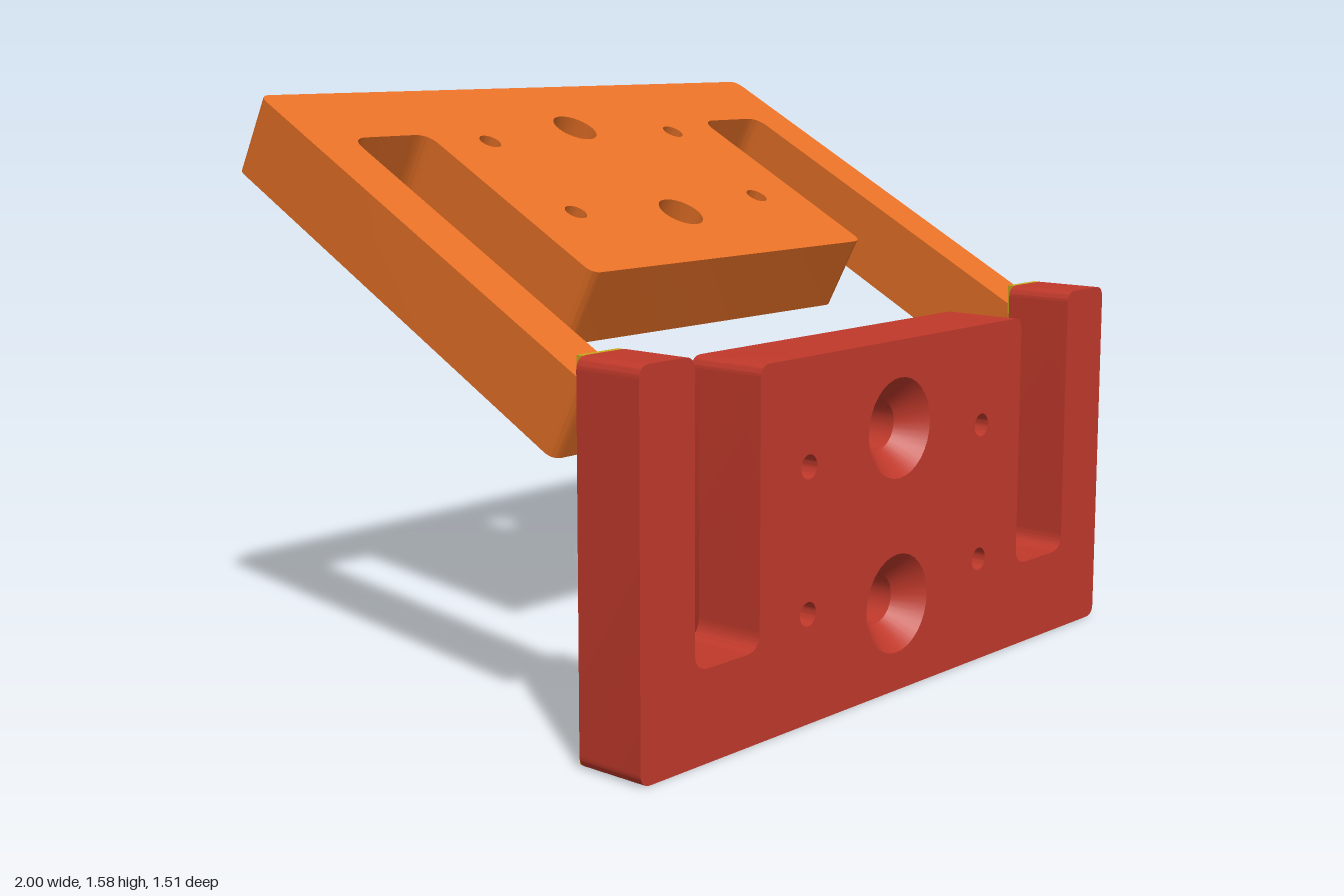
import * as THREE from 'three';
import { toCreasedNormals } from 'three/addons/utils/BufferGeometryUtils.js';

const BORE = 0.067, SINK = 0.135, SINK_DEPTH = 0.07, SMALL = 0.032;
const BIG_Y = [0.24, 0.715], SMALL_Y = [0.29, 0.67], SMALL_X = 0.38;
const PANEL = 0.57, PANEL_TOP = 0.95, SLOT_Y = 0.237;

const material = (color) => new THREE.MeshStandardMaterial({ color });

// Closed outline from [x, y, cornerRadius] points
function roundedOutline(points) {
  const shape = new THREE.Shape();
  points.forEach(([x, y, r], i) => {
    const p = new THREE.Vector2(x, y);
    const toward = (q) => new THREE.Vector2(q[0], q[1]).sub(p).setLength(r).add(p);
    const a = toward(points.at(i - 1));
    const b = toward(points[(i + 1) % points.length]);
    if (i === 0) shape.moveTo(a.x, a.y);
    else shape.lineTo(a.x, a.y);
    shape.quadraticCurveTo(x, y, b.x, b.y);
  });
  shape.closePath();
  return shape;
}

// Two large holes in the middle and four small ones at the sides
function addHoles(shape, bigRadius) {
  const hole = (x, y, r) => shape.holes.push(new THREE.Path().absarc(x, y, r, 0, Math.PI * 2, true));
  for (const y of BIG_Y) hole(0, y, bigRadius);
  for (const y of SMALL_Y) for (const s of [-1, 1]) hole(s * SMALL_X, y, SMALL);
}

function extrude(name, shape, depth, mat) {
  const geo = new THREE.ExtrudeGeometry(shape, { depth, bevelEnabled: false, curveSegments: 16 });
  const mesh = new THREE.Mesh(toCreasedNormals(geo, 0.5), mat);
  mesh.name = name;
  return mesh;
}

// Plate with two outer arms, a middle panel and countersunk holes opening to +z
function plate(name, halfWidth, armInner, armLength, depth, mat) {
  const group = new THREE.Group();
  group.name = name;
  const half = [
    [halfWidth, 0, 0.035], [halfWidth, armLength, 0.035], [armInner, armLength, 0.035],
    [armInner, SLOT_Y, 0.05], [PANEL, SLOT_Y, 0.05], [PANEL, PANEL_TOP, 0.035],
  ];
  const mirrored = half.map(([x, y, r]) => [-x, y, r]).reverse();
  const shape = roundedOutline([...half, ...mirrored]);
  addHoles(shape, SINK);
  group.add(extrude(name + 'Body', shape, depth, mat));

  // Countersunk bores set into the large openings
  const profile = [[SINK, depth], [BORE, depth - SINK_DEPTH], [BORE, 0], [SINK, 0]]
    .map(([x, y]) => new THREE.Vector2(x, y));
  const bore = toCreasedNormals(new THREE.LatheGeometry(profile, 32).rotateX(Math.PI / 2), 0.5);
  for (const y of BIG_Y) {
    const mesh = new THREE.Mesh(bore, mat);
    mesh.name = 'countersunkHole';
    mesh.position.y = y;
    group.add(mesh);
  }
  return group;
}

export function createModel() {
  const model = new THREE.Group();
  model.name = 'hingedBracket';
  const red = material(0xc0392b), orange = material(0xe67026), yellow = material(0xc9a71e);

  // Upright plate
  const upright = plate('uprightPlate', 1, 0.81, 1, 0.2, red);
  upright.position.z = 0.555;
  model.add(upright);

  // Raised pad on the back of its middle panel
  const padShape = roundedOutline([
    [-PANEL, 0, 0.005], [PANEL, 0, 0.005], [PANEL, PANEL_TOP, 0.035], [-PANEL, PANEL_TOP, 0.035],
  ]);
  addHoles(padShape, BORE);
  const pad = extrude('backPad', padShape, 0.025, red);
  pad.position.z = 0.53;
  model.add(pad);

  // Strips on the backs of the arms
  for (const s of [-1, 1]) {
    const strip = new THREE.Mesh(new THREE.BoxGeometry(0.14, 0.998, 0.022), yellow);
    strip.name = s > 0 ? 'leftStrip' : 'rightStrip';
    strip.position.set(s * 0.907, 0.5, 0.544);
    model.add(strip);
  }

  // Tilted plate, countersinks facing down
  const tilted = plate('tiltedPlate', 0.975, 0.835, 1.362, 0.225, orange);
  tilted.rotation.x = THREE.MathUtils.degToRad(118);
  tilted.position.set(0, 1.575, -0.65);
  model.add(tilted);

  return model;
}
